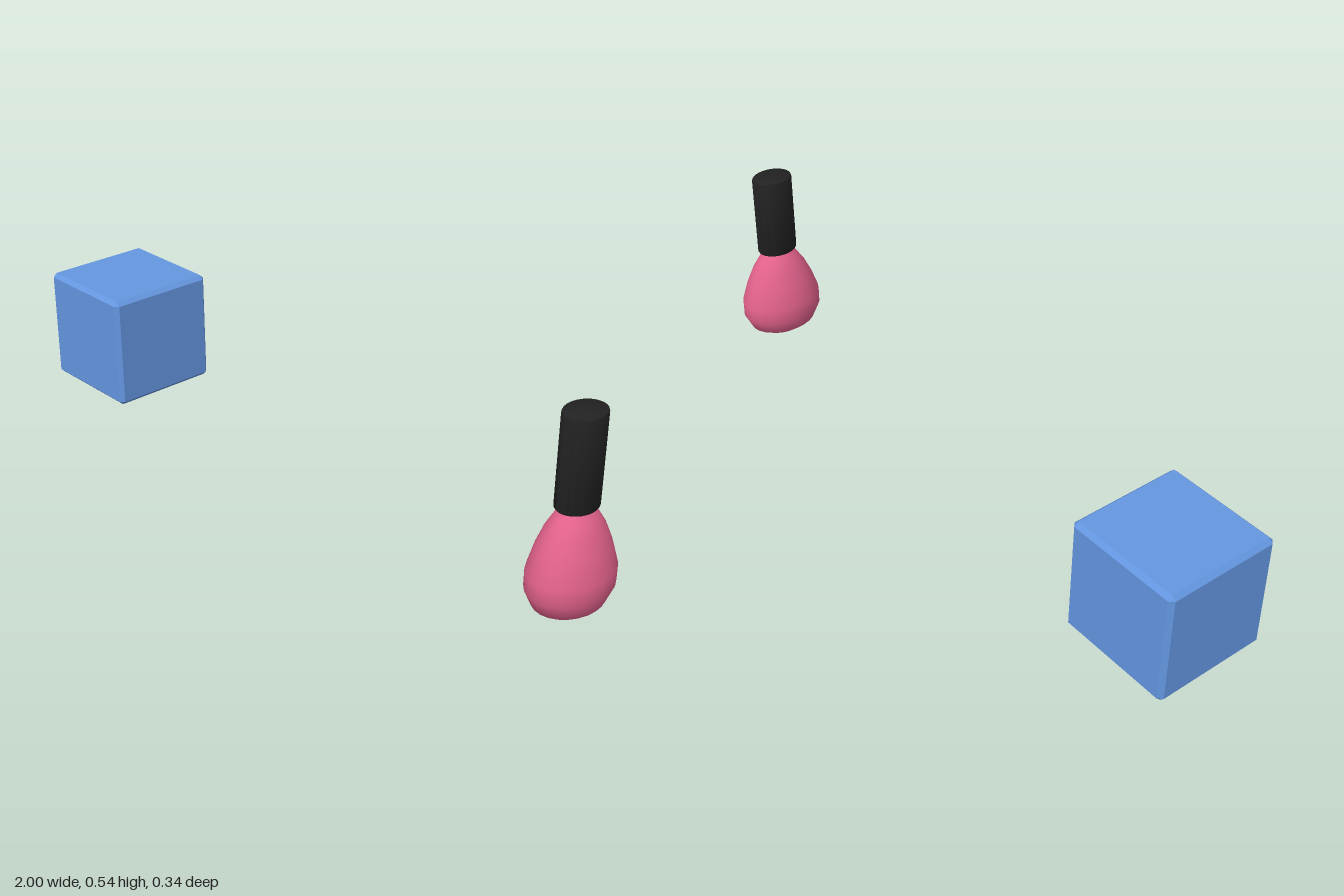
import * as THREE from 'three';
import { ConvexGeometry } from 'three/addons/geometries/ConvexGeometry.js';
import { toCreasedNormals } from 'three/addons/utils/BufferGeometryUtils.js';

const paint = (color) => new THREE.MeshStandardMaterial({ color });

// Cube with every edge and corner cut flat
function chamferedCube(half, cut) {
  const points = [];
  for (let axis = 0; axis < 3; axis++) {
    for (const sx of [-1, 1]) for (const sy of [-1, 1]) for (const sz of [-1, 1]) {
      const p = new THREE.Vector3(sx, sy, sz).multiplyScalar(half - cut);
      p.setComponent(axis, Math.sign(p.getComponent(axis)) * half);
      points.push(p);
    }
  }
  return new ConvexGeometry(points);
}

// Turned profile of [radius, height] pairs, flattened along x to an oval
function ovalLathe(profile, segments, flatten) {
  const points = profile.map(([r, y]) => new THREE.Vector2(r, y));
  return new THREE.LatheGeometry(points, segments).scale(flatten, 1, 1);
}

export function createModel() {
  const model = new THREE.Group();

  const add = (parent, name, geometry, color) => {
    const mesh = new THREE.Mesh(geometry, paint(color));
    mesh.name = name;
    parent.add(mesh);
    return mesh;
  };

  // Separate block on the right-hand side
  add(model, 'block', chamferedCube(0.168, 0.012), 0x6496e0).position.set(-0.832, 0.182, 0);

  // Bottle: egg-shaped body with a tall oval cap
  const bottle = new THREE.Group();
  bottle.name = 'bottle';
  bottle.position.x = 0.903;
  model.add(bottle);

  const body = [
    [0, 0.001], [0.062, 0.011], [0.105, 0.036], [0.127, 0.08], [0.127, 0.127],
    [0.108, 0.185], [0.085, 0.235], [0.06, 0.272], [0.034, 0.292], [0.026, 0.31], [0, 0.31],
  ];
  add(bottle, 'body', ovalLathe(body, 24, 0.76), 0xe3628c);

  const cap = [
    [0, 0.293], [0.06, 0.293], [0.062, 0.296], [0.062, 0.535],
    [0.06, 0.54], [0.056, 0.542], [0, 0.542],
  ];
  add(bottle, 'cap', toCreasedNormals(ovalLathe(cap, 32, 0.79), 0.6), 0x222222);

  return model;
}
